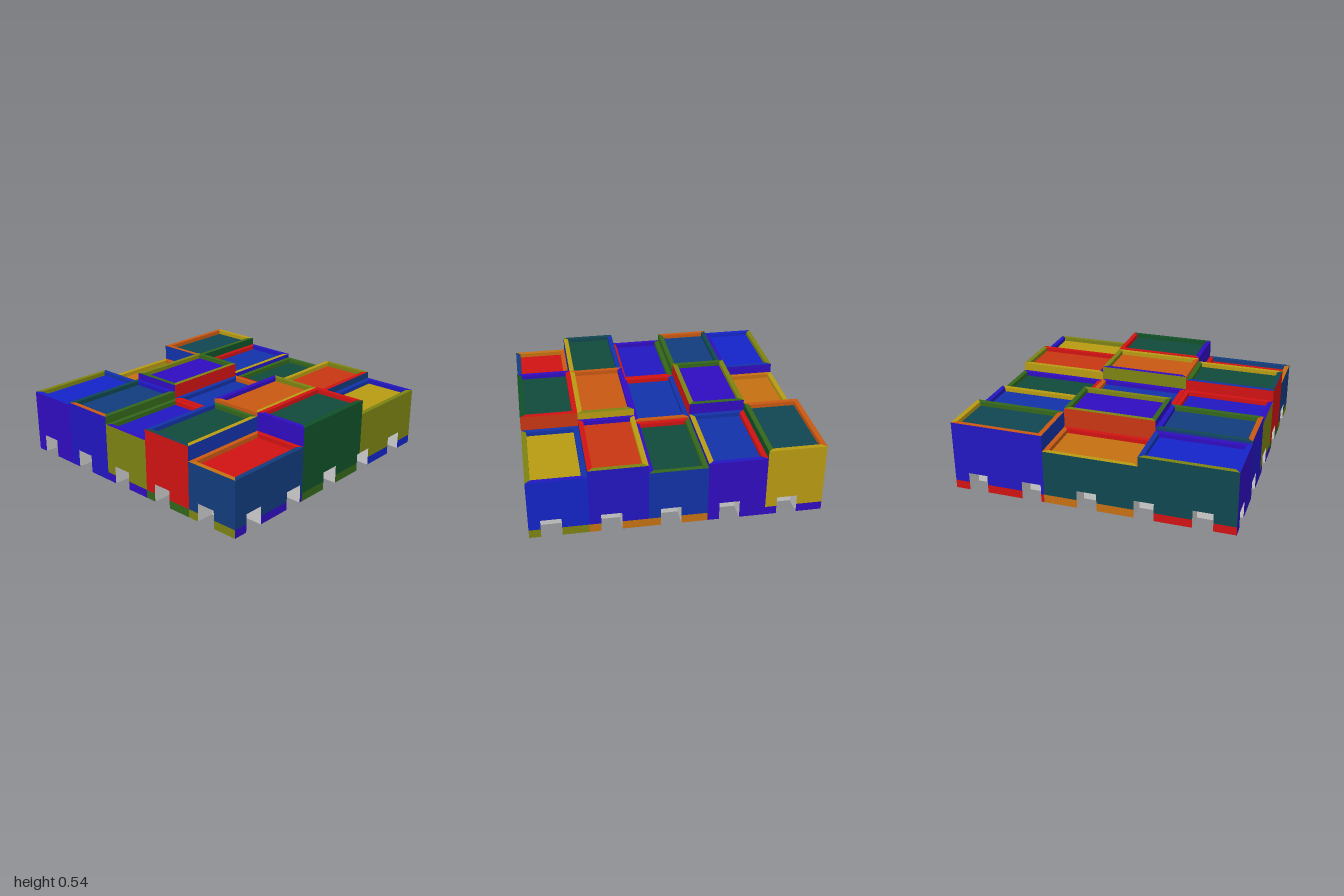
import * as THREE from 'three';

const PALETTE = {
  r: 0xd01212, v: 0xc83612, o: 0xc85812, a: 0xc47012, g: 0xb89a12, l: 0x7c8212, n: 0x33661a, f: 0x105028,
  c: 0x104a3a, t: 0x104650, y: 0x123c7c, b: 0x1232a8, k: 0x1424c8, i: 0x2216c0, p: 0x300cc0,
};
const COLS = [-1, -1 / 3, 1 / 3, 1];
const ROWS = [-1, -0.6, -0.2, 0.2, 0.6, 1];
const RIM = 0.035, RECESS = 0.03, BASE = 0.06;
const NICHE_W = 0.14, NICHE_H = 0.13, NICHE_D = 0.13;

// Blocks from back to front, left to right: height, roof, underside,
// then rim, wall and base strip colours in the order back, right, front, left
const BLOCKS = [
  [0.46, 'k', 'y', 'lbpk', 'tpip', 'rppp'], [0.39, 'a', 'p', 'gora', 'torg', 'aaaa'], [0.505, 't', 'f', 'ogno', 'igfb', 'rppp'],
  [0.48, 'y', 'o', 'tino', 'ynni', 'iiii'], [0.53, 'p', 'p', 'lnln', 'vprp', 'pppp'], [0.45, 'b', 'a', 'rigb', 'bpib', 'pppp'],
  [0.425, 'i', 'g', 'nrrp', 'nrrl', 'pppp'], [0.43, 'b', 'p', 'bopr', 'bopr', 'pppp'], [0.42, 'c', 'l', 'nnpr', 'fbbr', 'aaaa'],
  [0.505, 'c', 'g', 'bngt', 'rnbr', 'nnnn'], [0.53, 'o', 'i', 'plgo', 'lggo', 'gggg'], [0.48, 'v', 'i', 'glrp', 'giyp', 'gaaa'],
  [0.4, 'r', 'n', 'orya', 'oryy', 'pppl'], [0.535, 'c', 'r', 'rrfp', 'rvfp', 'nnnn'], [0.43, 'g', 'i', 'bilb', 'bklb', 'klkk'],
];

function mesh(name, color, quads) {
  const pos = [], index = [];
  quads.forEach((q, n) => {
    q.forEach((p) => pos.push(...p));
    index.push(...[0, 1, 2, 0, 2, 3].map((k) => k + n * 4));
  });
  const geo = new THREE.BufferGeometry();
  geo.setAttribute('position', new THREE.Float32BufferAttribute(pos, 3));
  geo.setIndex(index);
  geo.computeVertexNormals();
  const m = new THREE.Mesh(geo, new THREE.MeshStandardMaterial({ color, side: THREE.DoubleSide }));
  m.name = name;
  return m;
}

// Five niches per side; opposite sides are turned by half a circle
const NICHES = [];
for (let i = 0; i < 5; i++) {
  const f = -0.825 + 0.4 * i, s = 0.85 - 0.4 * i;
  NICHES.push([0, f], [Math.PI / 2, s], [Math.PI, -f], [-Math.PI / 2, -s]);
}
const nicheBoxes = NICHES.map(([turn, at]) => {
  const h = NICHE_W / 2, near = 1 - NICHE_D;
  const alongX = Math.abs(Math.sin(turn)) < 0.5;
  const sign = alongX ? Math.cos(turn) : Math.sin(turn);
  const deep = sign > 0 ? [near, 1] : [-1, -near];
  const wide = [at - h, at + h];
  return alongX ? [wide, [0, NICHE_H], deep] : [deep, [0, NICHE_H], wide];
});

// Axis-aligned rectangle with the niches cut out of it
function panel(name, color, axis, at, U, V, sign) {
  const u = (axis + 1) % 3, v = (axis + 2) % 3, e = 1e-4;
  const holes = nicheBoxes.filter((b) => at > b[axis][0] - e && at < b[axis][1] + e);
  const cuts = (range, k) => [...range, ...holes.flatMap((b) => b[k])]
    .filter((x) => x >= range[0] && x <= range[1]).sort((a, b) => a - b);
  const us = cuts(U, u), vs = cuts(V, v), quads = [];
  const point = (a, b) => { const p = []; p[axis] = at; p[u] = a; p[v] = b; return p; };
  for (let i = 0; i + 1 < us.length; i++) for (let j = 0; j + 1 < vs.length; j++) {
    if (us[i + 1] - us[i] < e || vs[j + 1] - vs[j] < e) continue;
    const mu = (us[i] + us[i + 1]) / 2, mv = (vs[j] + vs[j + 1]) / 2;
    if (holes.some((b) => mu > b[u][0] && mu < b[u][1] && mv > b[v][0] && mv < b[v][1])) continue;
    const q = [point(us[i], vs[j]), point(us[i + 1], vs[j]), point(us[i + 1], vs[j + 1]), point(us[i], vs[j + 1])];
    quads.push(sign > 0 ? q : q.reverse());
  }
  return mesh(name, color, quads);
}

function block(col, row, [h, roof, under, rims, walls, strips]) {
  const g = new THREE.Group();
  g.name = `block${row * 3 + col + 1}`;
  const X = [COLS[col], COLS[col + 1]], Z = [ROWS[row], ROWS[row + 1]];
  const ring = (inset, y) => [
    [X[0] + inset, y, Z[0] + inset], [X[1] - inset, y, Z[0] + inset],
    [X[1] - inset, y, Z[1] - inset], [X[0] + inset, y, Z[1] - inset],
  ];
  const outer = ring(0, h), inner = ring(RIM, h), low = ring(RIM, h - RECESS);
  const outside = [row === 0, col === 2, row === 4, col === 0];
  ['back', 'right', 'front', 'left'].forEach((side, i) => {
    const j = (i + 1) % 4, rimColor = PALETTE[rims[i]], wallColor = PALETTE[walls[i]];
    // Mitred rim and the inner face of the parapet
    g.add(mesh(`${side}Rim`, rimColor, [[outer[i], inner[i], inner[j], outer[j]]]));
    g.add(mesh(`${side}ParapetInside`, rimColor, [[low[i], low[j], inner[j], inner[i]]]));
    // Outer wall, with a base strip along the perimeter
    const axis = i % 2 ? 0 : 2, sign = i === 1 || i === 2 ? 1 : -1;
    const at = (axis ? Z : X)[sign > 0 ? 1 : 0];
    const face = (name, color, Y) => g.add(
      axis ? panel(name, color, 2, at, X, Y, sign) : panel(name, color, 0, at, Y, Z, sign));
    const bottom = outside[i] ? BASE : 0;
    face(`${side}Wall`, wallColor, [bottom, h]);
    if (bottom) face(`${side}BaseStrip`, PALETTE[strips[i]], [0, bottom]);
  });
  g.add(mesh('roof', PALETTE[roof], [[low[0], low[3], low[2], low[1]]]));
  g.add(panel('underside', PALETTE[under], 1, 0, Z, X, -1));
  return g;
}

// Niche lining: back, ceiling and two cheeks, open outwards and downwards
function niche(turn, at) {
  const w = NICHE_W / 2, n = 1 - NICHE_D, H = NICHE_H;
  const m = mesh('niche', 0xcccccc, [
    [[-w, 0, n], [w, 0, n], [w, H, n], [-w, H, n]],
    [[-w, H, n], [w, H, n], [w, H, 1], [-w, H, 1]],
    [[-w, 0, 1], [-w, 0, n], [-w, H, n], [-w, H, 1]],
    [[w, 0, n], [w, 0, 1], [w, H, 1], [w, H, n]],
  ]);
  m.rotation.y = turn;
  if (Math.abs(Math.sin(turn)) < 0.5) m.position.x = at;
  else m.position.z = at;
  return m;
}

export function createModel() {
  const model = new THREE.Group();
  model.name = 'blockCluster';
  BLOCKS.forEach((b, i) => model.add(block(i % 3, Math.floor(i / 3), b)));
  NICHES.forEach(([turn, at]) => model.add(niche(turn, at)));
  return model;
}
